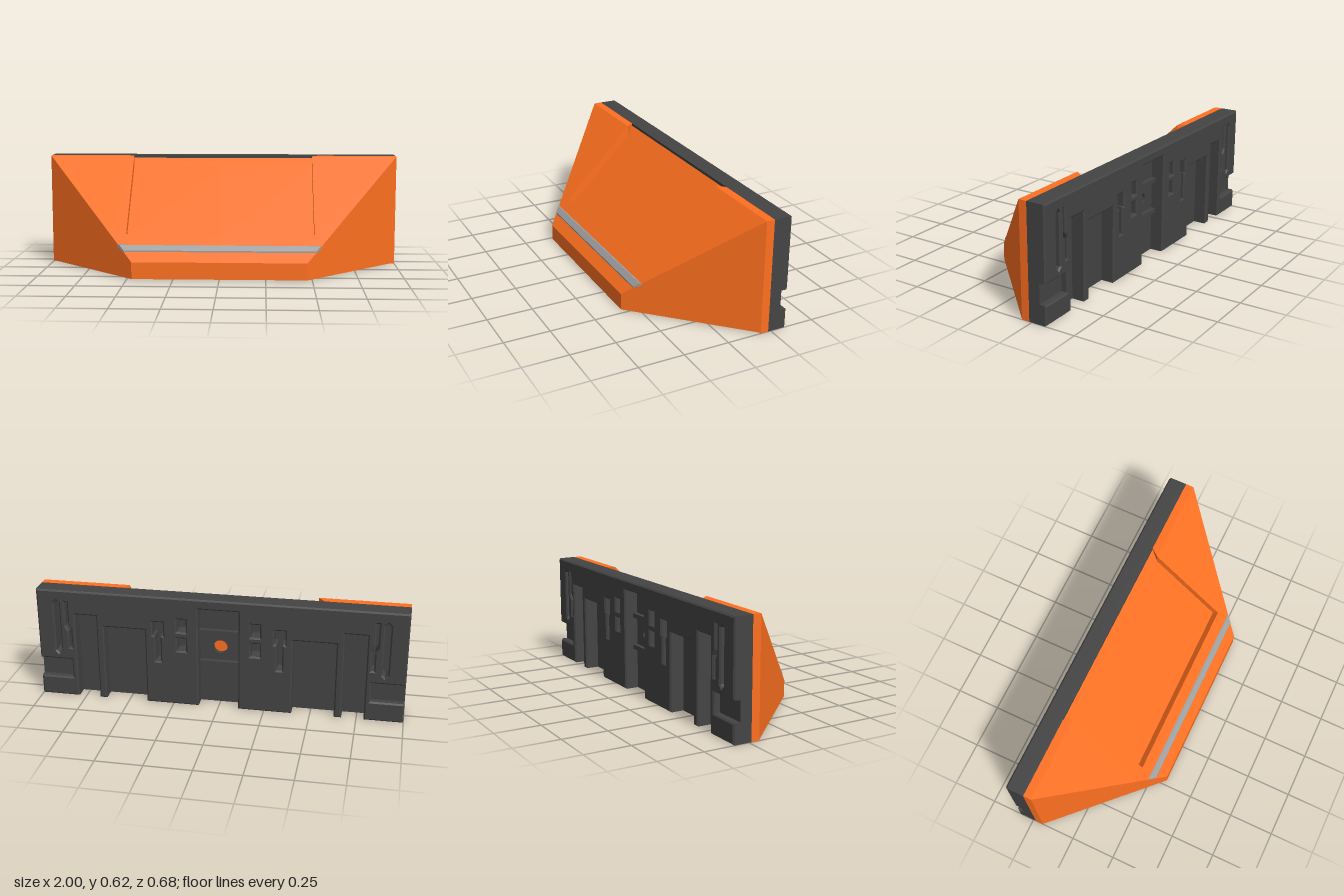
import * as THREE from 'three';

const orange = new THREE.MeshStandardMaterial({ color: 0xff7020 });
const dark = new THREE.MeshStandardMaterial({ color: 0x444444 });
const silver = new THREE.MeshStandardMaterial({ color: 0xa0a0a0 });

const H = 0.625;

function add(parent, name, geometry, material) {
  const mesh = new THREE.Mesh(geometry, material);
  mesh.name = name;
  parent.add(mesh);
  return mesh;
}

// Flat-faced geometry from quads on the +x half, mirrored to -x
function mirroredQuads(quads) {
  const pos = [];
  const push = (q) => [0, 1, 2, 0, 2, 3].forEach((i) => pos.push(...q[i]));
  for (const q of quads) {
    push(q);
    push(q.map(([x, y, z]) => [-x, y, z]).reverse());
  }
  const g = new THREE.BufferGeometry();
  g.setAttribute('position', new THREE.Float32BufferAttribute(pos, 3));
  g.computeVertexNormals();
  return g;
}

const shapeOf = (pts) => new THREE.Shape(pts.map(([x, y]) => new THREE.Vector2(x, y)));
const rect = (x0, x1, y0, y1) => [[x0, y0], [x1, y0], [x1, y1], [x0, y1]];
const mirror = (pts) => pts.map(([x, y]) => [-x, y]).reverse();
const extrude = (shape, depth) =>
  new THREE.ExtrudeGeometry(shape, { depth, bevelEnabled: false, curveSegments: 20 });

// Hollow wedge hood with 45 degree sides and roof, open underneath
function hoodGeometry() {
  const b = 0.005, zf = 0.338, zb = -0.19, zi = 0.31;
  const px = 0.515, pz = 0.205, fz = 0.175; // sunken panel: half width, lower edge, floor edge
  const roof = (x, z) => [x, 0.435 - z, z];
  const floor = (x, z) => [x, 0.375 - z, z];
  const under = (x, z) => [x, 0.325 - z, z];
  const base = (x, z) => [x, b, z];
  const xo = (z) => 0.81 - z, xi = (z) => 0.76 - z;
  return mirroredQuads([
    // outside
    [base(0, zf), base(xo(zf), zf), roof(xo(zf), zf), roof(0, zf)],
    [base(xo(zf), zf), base(1, zb), roof(1, zb), roof(xo(zf), zf)],
    [roof(0, zf), roof(xo(zf), zf), roof(xo(pz), pz), roof(0, pz)],
    [roof(px, pz), roof(xo(pz), pz), roof(1, zb), roof(px, zb)],
    // sunken panel, its lower wall square to the slope
    [floor(0, fz), floor(px, fz), floor(px, zb), floor(0, zb)],
    [roof(0, pz), roof(px, pz), floor(px, fz), floor(0, fz)],
    [roof(px, pz), roof(px, zb), floor(px, zb), floor(px, fz)],
    // inside
    [base(0, zi), under(0, zi), under(xi(zi), zi), base(xi(zi), zi)],
    [base(xi(zi), zi), under(xi(zi), zi), under(xi(zb), zb), base(xi(zb), zb)],
    [under(0, zi), under(0, zb), under(xi(zb), zb), under(xi(zi), zi)],
    // bottom rim
    [base(0, zf), base(0, zi), base(xi(zi), zi), base(xo(zf), zf)],
    [base(xo(zf), zf), base(xi(zi), zi), base(xi(zb), zb), base(1, zb)],
  ]);
}

// Plate outline with channels open at the bottom and optional end notches
function plateShape(endNotches) {
  const channels = [[0.11, -0.11, 0.57], [0.63, 0.4, 0.43], [0.79, 0.67, 0.49]];
  const all = channels.concat(channels.slice(1).map(([a, c, t]) => [-c, -a, t]));
  all.sort((p, q) => p[1] - q[1]);
  const pts = [[-1, 0]];
  for (const [x1, x0, top] of all) pts.push([x0, 0], [x0, top], [x1, top], [x1, 0]);
  pts.push([1, 0]);
  const notch = [[1, 0.11], [0.82, 0.11], [0.82, 0.22], [1, 0.22]];
  if (endNotches) pts.push(...notch);
  pts.push([1, H], [-1, H]);
  if (endNotches) pts.push(...mirror(notch));
  const shape = shapeOf(pts);

  // Closed slots, mirrored
  const slots = [
    [[0.875, 0.27], [0.89, 0.255], [0.905, 0.27], [0.905, 0.55], [0.89, 0.565], [0.875, 0.55]],
    [[0.815, 0.29], [0.83, 0.29], [0.83, 0.39], [0.845, 0.42], [0.845, 0.56],
      [0.83, 0.56], [0.83, 0.43], [0.815, 0.4]],
    [[0.315, 0.25], [0.345, 0.25], [0.345, 0.4], [0.36, 0.4], [0.36, 0.48], [0.3, 0.48], [0.3, 0.4], [0.315, 0.4]],
    rect(0.175, 0.225, 0.32, 0.395),
    rect(0.175, 0.225, 0.43, 0.505),
  ];
  for (const s of slots) shape.holes.push(shapeOf(s), shapeOf(mirror(s)));
  return shape;
}

export function createModel() {
  const model = new THREE.Group();

  // Orange hood
  const hood = new THREE.Group();
  hood.name = 'hood';
  model.add(hood);
  add(hood, 'hoodShell', hoodGeometry(), orange);
  add(hood, 'hoodBack', new THREE.BoxGeometry(2, 0.56, 0.045), orange).position.set(0, 0.28, -0.2125);
  for (const s of [1, -1]) {
    // Top rim corner, chamfered beside the sunken panel
    const plan = [[0.515, 0.19], [1, 0.19], [1, 0.235], [0.55, 0.235]];
    const g = extrude(shapeOf(s > 0 ? plan : mirror(plan)), H - 0.56);
    g.rotateX(-Math.PI / 2);
    add(hood, 'rimCorner', g, orange).position.y = 0.56;
  }
  // Top end of the sunken panel; profile is (-z, y)
  const lip = extrude(shapeOf([[0.19, 0.55], [0.235, 0.55], [0.235, 0.61], [0.19, 0.565]]), 1.1);
  lip.rotateY(Math.PI / 2);
  add(hood, 'panelLip', lip, orange).position.x = -0.55;

  // Silver strip across the slope, ends mitred along the hood sides
  const strip = extrude(shapeOf([[-0.29, 0.14], [-0.25, 0.165], [-0.255, 0.178], [-0.265, 0.178], [-0.29, 0.153]]), 1);
  strip.rotateY(Math.PI / 2);
  const p = strip.attributes.position;
  for (let i = 0; i < p.count; i++) p.setX(i, (p.getX(i) > 0.5 ? 1 : -1) * (0.81 - p.getZ(i)));
  strip.computeVertexNormals();
  add(model, 'silverStrip', strip, silver);

  // Dark mounting plate in three layers, front to back
  const plate = new THREE.Group();
  plate.name = 'mountingPlate';
  model.add(plate);
  const front = shapeOf(rect(-1, 1, 0, H));
  front.holes.push(new THREE.Path().absarc(0, 0.33, 0.038, 0, Math.PI * 2));
  add(plate, 'plateFront', extrude(front, 0.025), dark).position.z = -0.26;
  add(plate, 'plateCore', extrude(plateShape(false), 0.04), dark).position.z = -0.3;
  const back = new THREE.ExtrudeGeometry(plateShape(true), {
    depth: 0.03, bevelThickness: 0.008, bevelSize: 0.008, bevelOffset: -0.008, bevelSegments: 1,
  });
  add(plate, 'plateBack', back, dark).position.z = -0.33;

  // Ribs above and below the screw hole
  for (const y of [0.24, 0.42]) {
    add(plate, 'holeRib', new THREE.BoxGeometry(0.22, 0.025, 0.03), dark).position.set(0, y, -0.27);
  }
  return model;
}
